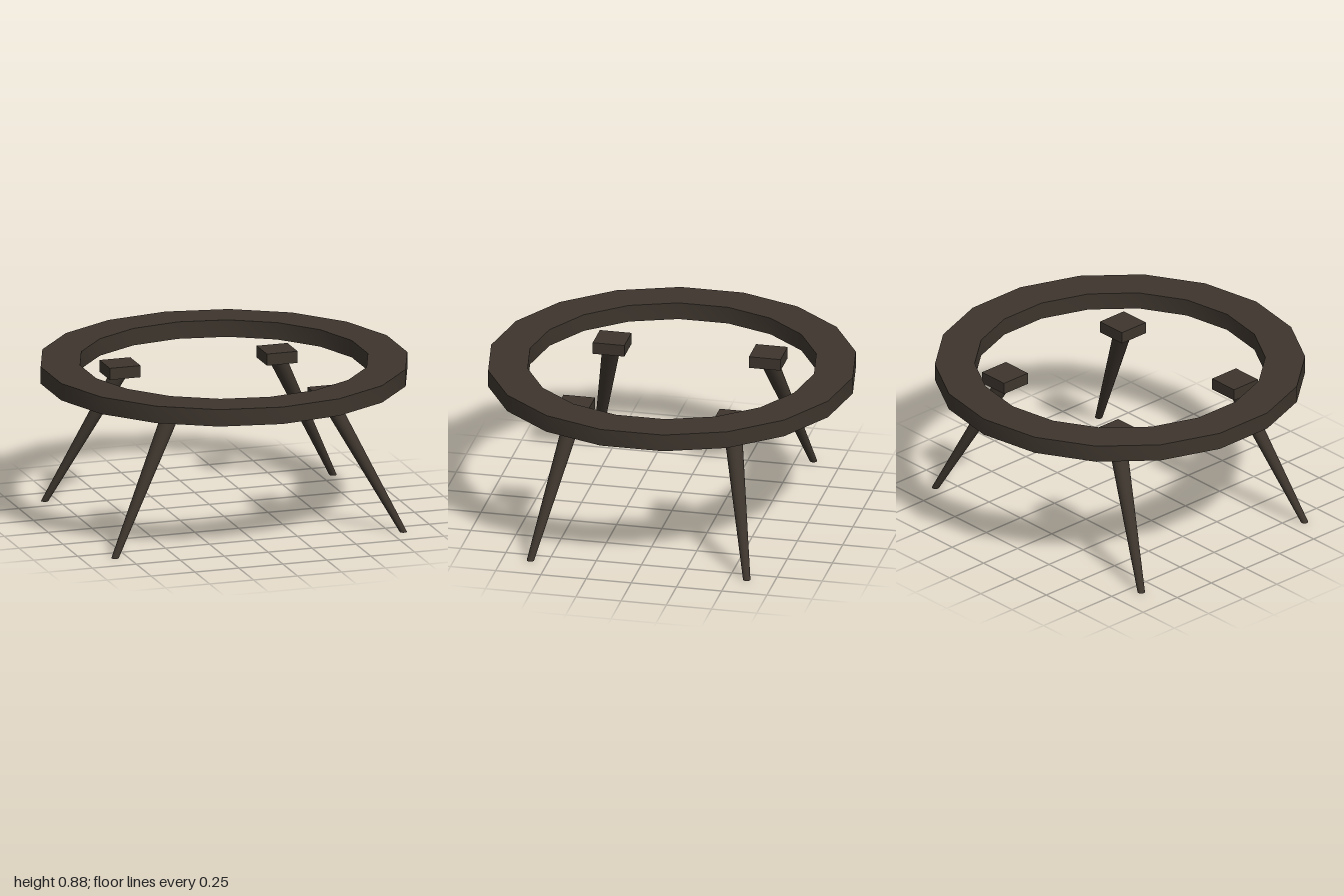
import * as THREE from 'three';
import { toCreasedNormals } from 'three/addons/utils/BufferGeometryUtils.js';

export function createModel() {
  const model = new THREE.Group();
  model.name = 'ringTable';

  const darkWood = new THREE.MeshStandardMaterial({ color: 0x3d352d });
  darkWood.name = 'darkWood';

  const add = (name, geometry) => {
    const mesh = new THREE.Mesh(geometry, darkWood);
    mesh.name = name;
    model.add(mesh);
    return mesh;
  };

  // Open 18-sided ring that frames the table top
  const inner = 0.785, outer = 1, low = 0.785, high = 0.88;
  const profile = [[inner, low], [outer, low], [outer, high], [inner, high], [inner, low]]
    .map(([r, y]) => new THREE.Vector2(r, y));
  add('topRing', toCreasedNormals(new THREE.LatheGeometry(profile, 18), Math.PI / 6));

  // Four mounting blocks, each with a tapered leg splayed outwards
  const legHeight = 0.72;
  for (const sx of [1, -1]) {
    for (const sz of [1, -1]) {
      const corner = (sz > 0 ? 'front' : 'back') + (sx > 0 ? 'Left' : 'Right');

      add(corner + 'Block', new THREE.BoxGeometry(0.175, 0.065, 0.175))
        .position.set(sx * 0.447, 0.7525, sz * 0.432);

      // Lean the cone by shearing, so that the foot stays level on the floor
      const leg = new THREE.CylinderGeometry(0.05, 0.02, legHeight, 20);
      leg.translate(0, legHeight / 2, 0);
      const leanX = sx * (0.454 - 0.82) / legHeight;
      const leanZ = sz * (0.438 - 0.598) / legHeight;
      leg.applyMatrix4(new THREE.Matrix4().set(
        1, leanX, 0, sx * 0.82,
        0, 1, 0, 0,
        0, leanZ, 1, sz * 0.598,
        0, 0, 0, 1,
      ));
      add(corner + 'Leg', leg);
    }
  }
  return model;
}
